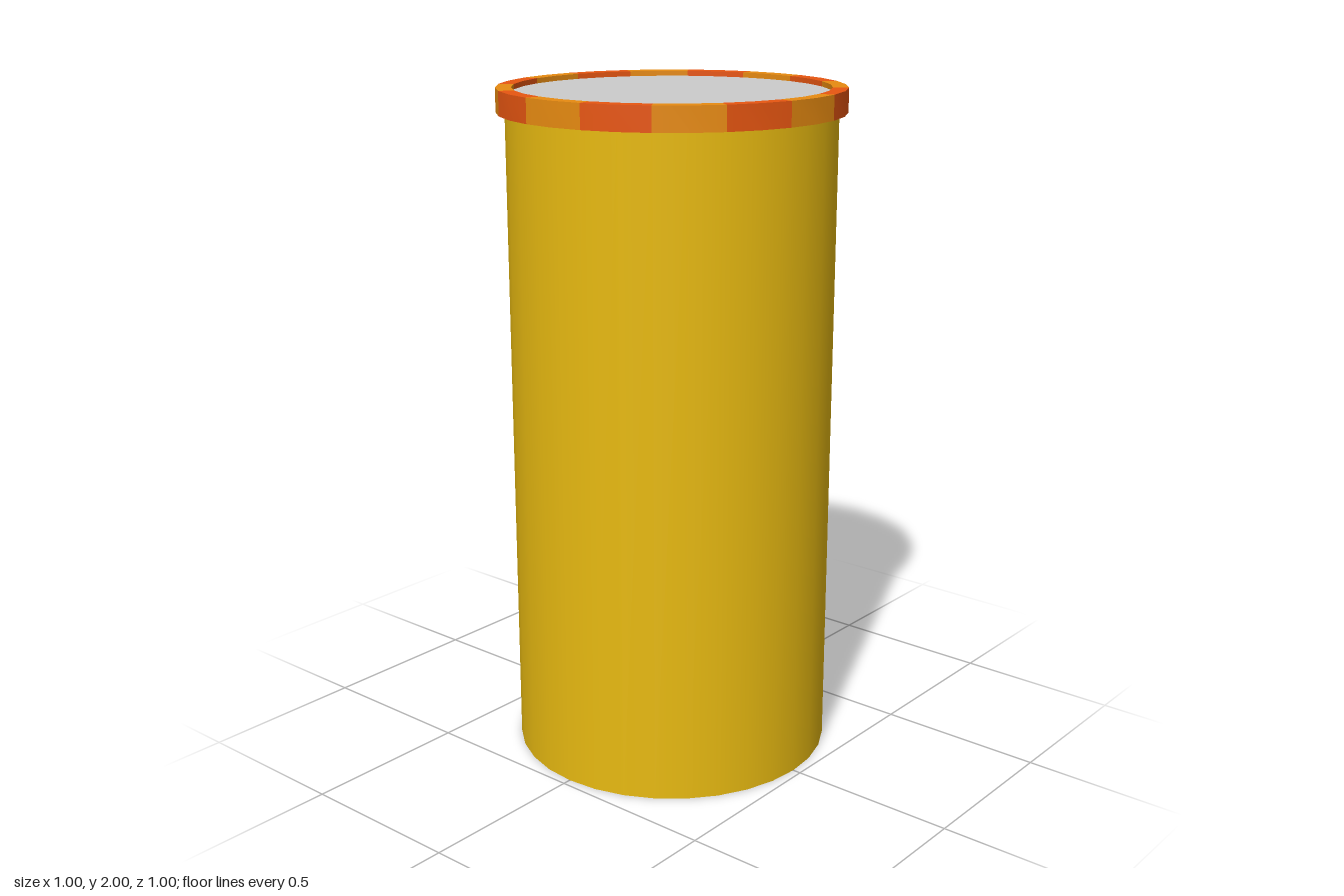
import * as THREE from 'three';
import { toCreasedNormals } from 'three/addons/utils/BufferGeometryUtils.js';

const SIDES = 32, BLOCKS = 16;
const BODY_R = 0.475, RIM_IN = 0.455, RIM_OUT = 0.5;
const RIM_BOTTOM = 1.93, TOP = 2, LID_Y = 1.985;

export function createModel() {
  const model = new THREE.Group();
  const yellow = new THREE.MeshStandardMaterial({ color: 0xe8ba11, side: THREE.DoubleSide });
  const grey = new THREE.MeshStandardMaterial({ color: 0xcccccc, side: THREE.DoubleSide });
  const orange = new THREE.MeshStandardMaterial({ color: 0xe88b11 });
  const red = new THREE.MeshStandardMaterial({ color: 0xe85611 });

  const add = (name, geometry, material, parent = model) => {
    const mesh = new THREE.Mesh(geometry, material);
    mesh.name = name;
    parent.add(mesh);
    return mesh;
  };

  // Thin tube, open at the bottom
  const body = add('body', new THREE.CylinderGeometry(BODY_R, BODY_R, LID_Y, SIDES, 1, true), yellow);
  body.position.y = LID_Y / 2;

  // Flat lid slightly below the rim's top edge
  const lid = add('lid', new THREE.CircleGeometry(BODY_R, SIDES), grey);
  lid.rotation.x = -Math.PI / 2;
  lid.position.y = LID_Y;

  // Rim of alternating coloured blocks, two facets each
  const rim = new THREE.Group();
  rim.name = 'rim';
  model.add(rim);
  const profile = [
    [RIM_OUT, RIM_BOTTOM], [RIM_OUT, TOP], [RIM_IN, TOP], [RIM_IN, RIM_BOTTOM], [RIM_OUT, RIM_BOTTOM],
  ].map(([r, y]) => new THREE.Vector2(r, y));
  const step = (Math.PI * 2) / BLOCKS;
  for (let i = 0; i < BLOCKS; i++) {
    const block = new THREE.LatheGeometry(profile, SIDES / BLOCKS, (i - 0.5) * step, step);
    add(`rimBlock${i + 1}`, toCreasedNormals(block, 0.6), i % 2 ? red : orange, rim);
  }

  return model;
}
